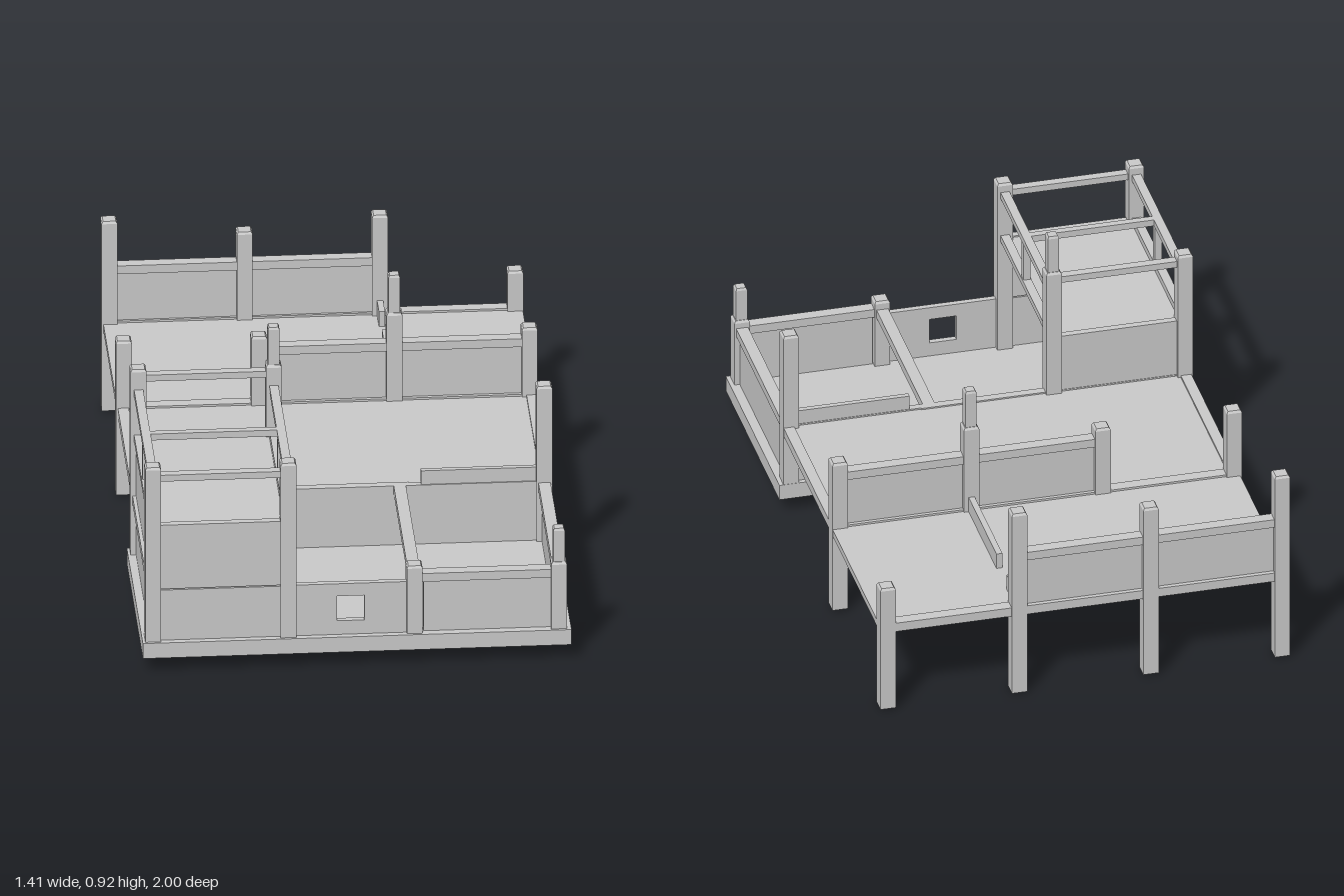
import * as THREE from 'three';

export function createModel() {
  const model = new THREE.Group();
  const mat = new THREE.MeshStandardMaterial({ color: 0xcccccc, flatShading: true });

  const add = (name, geometry) => {
    const mesh = new THREE.Mesh(geometry, mat);
    mesh.name = name;
    model.add(mesh);
    return mesh;
  };
  // box given by its limits on each axis
  const box = (name, x0, x1, y0, y1, z0, z1) => {
    const mesh = add(name, new THREE.BoxGeometry(x1 - x0, y1 - y0, z1 - z0));
    mesh.position.set((x0 + x1) / 2, (y0 + y1) / 2, (z0 + z1) / 2);
    return mesh;
  };
  // square post with a slightly bevelled cap
  const post = (name, x, z, y0, y1, w = 0.052) => {
    const cap = 0.008, h = w / 2;
    box(name, x - h, x + h, y0, y1 - cap, z - h, z + h);
    const g = new THREE.CylinderGeometry(h * Math.SQRT2 * 0.8, h * Math.SQRT2, cap, 4);
    g.rotateY(Math.PI / 4);
    add(name + 'Cap', g).position.set(x, y1 - cap / 2, z);
  };

  const X = [-0.67, -0.225, 0.22, 0.665];
  const zBack = -0.972, zMid = -0.335, zWall = 0.315, zFront = 0.965;

  // posts, row by row: [x, z, bottom, top, top of thin extension]
  [
    [X[0], zBack, 0.01, 0.70], [X[1], zBack, 0.01, 0.645],
    [X[2], zBack, 0.005, 0.69], [X[3], zBack, 0.01, 0.47],
    [X[0], zMid, 0.015, 0.575], [X[1], zMid, 0.01, 0.575],
    [X[2], zMid, 0.005, 0.645, 0.78], [X[3], zMid, 0.015, 0.575],
    [X[0], zWall, 0.1, 0.79], [X[1], zWall, 0.1, 0.79, 0.925], [X[3], zWall, 0.1, 0.68],
    [X[0], zFront, 0.1, 0.75], [X[1], zFront, 0.1, 0.75],
    [0.19, zFront, 0.1, 0.36], [X[3], zFront, 0.1, 0.357, 0.477],
  ].forEach(([x, z, y0, y1, thin]) => {
    post('post', x, z, y0, y1);
    if (thin) post('postExtension', x, z, y1 - 0.01, thin, 0.038);
  });

  // base slab and deck with rim beams
  box('baseSlab', -0.705, 0.705, 0.06, 0.115, 0.288, 1.0);
  box('deckFloor', -0.69, 0.69, 0.30, 0.325, -0.995, zWall);
  for (const x of [-0.672, 0.672]) box('deckSideBeam', x - 0.018, x + 0.018, 0.302, 0.332, zMid, zWall);
  box('deckCrossBeam', -0.67, 0.67, 0.302, 0.332, zMid - 0.02, zMid + 0.02);
  box('deckBackBeam', -0.67, 0.67, 0.302, 0.332, -0.995, -0.955);

  // panelled rails standing on the deck
  const railing = (x0, x1, z) => {
    box('railingPanel', x0 + 0.02, x1 - 0.02, 0.32, 0.51, z - 0.008, z + 0.008);
    box('railingTop', x0 + 0.02, x1 - 0.02, 0.505, 0.535, z - 0.02, z + 0.02);
  };
  railing(X[0], X[1], zBack);
  railing(X[1], X[2], zBack);
  railing(X[1], X[2], zMid);
  railing(X[2], X[3], zMid);

  // low divider on the deck with a gap
  box('deckDivider', 0.21, 0.23, 0.32, 0.38, -0.73, zMid);
  box('deckDividerStub', 0.21, 0.23, 0.32, 0.38, zBack, -0.865);

  // lower walls of the front enclosure
  box('backWall', X[0], 0.22, 0.11, 0.33, zWall - 0.014, zWall + 0.014);
  box('backWall', 0.22, X[3], 0.11, 0.33, zWall - 0.010, zWall + 0.014);
  box('backWallBoard', 0.26, 0.65, 0.32, 0.38, zWall - 0.008, zWall + 0.01);
  for (const x of [X[0], X[3]]) {
    box('sideWall', x - 0.008, x + 0.008, 0.11, 0.31, zWall, zFront);
    box('sideWallRail', x - 0.02, x + 0.02, 0.30, 0.33, zWall, zFront);
  }
  box('frontLeftPanel', X[2], X[3], 0.11, 0.305, zFront - 0.008, zFront + 0.008);
  box('frontRail', 0.19, X[3], 0.30, 0.33, zFront - 0.02, zFront + 0.02);
  box('dividerRail', 0.17, 0.21, 0.30, 0.33, zWall, zFront);

  // front panel with a square window and a thin frame
  const rect = (P, x0, x1, y0, y1) => {
    const p = new P();
    p.moveTo(x0, y0).lineTo(x1, y0).lineTo(x1, y1).lineTo(x0, y1).closePath();
    return p;
  };
  const panel = rect(THREE.Shape, X[1], 0.19, 0.11, 0.30);
  panel.holes.push(rect(THREE.Path, -0.065, 0.025, 0.165, 0.255));
  add('windowPanel', new THREE.ExtrudeGeometry(panel, { depth: 0.02, bevelEnabled: false }))
    .position.z = zFront - 0.006;

  // tower: panels, platform
  box('towerFrontLowerPanel', X[0], X[1], 0.11, 0.298, zFront - 0.01, zFront + 0.014);
  box('towerFrontUpperPanel', X[0], X[1], 0.302, 0.535, zFront - 0.01, zFront + 0.014);
  box('towerBackPanel', X[0], X[1], 0.32, 0.535, zWall - 0.012, zWall + 0.012);
  box('towerSidePanel', X[0] - 0.008, X[0] + 0.008, 0.32, 0.51, zWall, 0.775);
  box('towerPlatform', X[0], X[1], 0.502, 0.53, zWall, zFront);

  // tower rails and uprights
  for (const x of [X[0], X[1]]) {
    box('towerLowRail', x - 0.015, x + 0.015, 0.53, 0.553, zWall, zFront);
    box('towerSideRail', x - 0.015, x + 0.015, 0.695, 0.718, zWall, zFront);
    box('towerUpright', x - 0.012, x + 0.012, 0.55, 0.70, 0.648, 0.672);
  }
  box('towerFrontRail', X[0], X[1], 0.695, 0.718, zFront - 0.015, zFront + 0.015);
  box('towerBackRail', X[0], X[1], 0.742, 0.765, zWall - 0.015, zWall + 0.015);
  box('towerCrossRail', X[0], X[1], 0.695, 0.718, 0.648, 0.672);

  return model;
}
